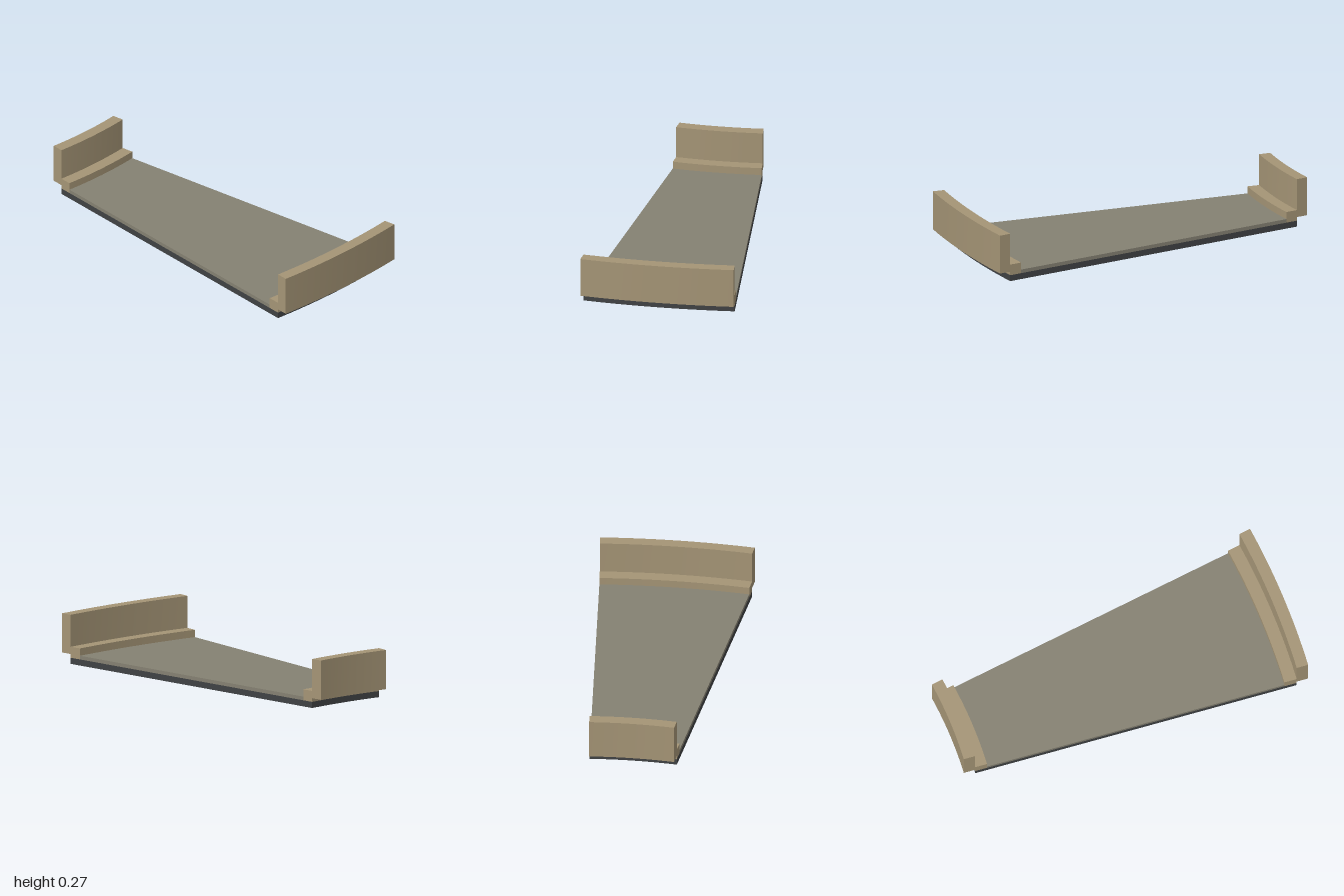
import * as THREE from 'three';
import { toCreasedNormals } from 'three/addons/utils/BufferGeometryUtils.js';

const ANGLE = Math.PI / 16;             // sweep of the curved section
const CENTRE_X = -3.341, START_Z = -0.4235;

// Sweeps a (radius, height) profile around the bend centre
function sweep(name, points, material) {
  const shape = new THREE.Shape(points.map(([r, y]) => new THREE.Vector2(r, y)));
  const geometry = new THREE.ExtrudeGeometry(shape, { depth: ANGLE, steps: 16, bevelEnabled: false });
  const p = geometry.attributes.position;
  for (let i = 0; i < p.count; i++) {
    const r = p.getX(i), a = p.getZ(i);
    p.setXYZ(i, CENTRE_X + r * Math.cos(a), p.getY(i), START_Z + r * Math.sin(a));
  }
  geometry.computeVertexNormals();
  const mesh = new THREE.Mesh(toCreasedNormals(geometry, 0.5), material);
  mesh.name = name;
  return mesh;
}

const rect = (r0, r1, y0, y1) => [[r0, y0], [r1, y0], [r1, y1], [r0, y1]];

// Stepped parapet profile: low kerb on the deck side, tall wall overhanging outside
const parapet = (kerb, joint, outer) => [
  [kerb, 0.034], [joint, 0.034], [joint, 0.0545], [outer, 0.0545],
  [outer, 0.2725], [joint, 0.2725], [joint, 0.095], [kerb, 0.095],
];

export function createModel() {
  const stone = new THREE.MeshStandardMaterial({ color: 0xa59576 });
  stone.name = 'tan stone';
  const paving = new THREE.MeshStandardMaterial({ color: 0x858172 });
  paving.name = 'grey paving';
  const dark = new THREE.MeshStandardMaterial({ color: 0x404244 });
  dark.name = 'dark base';

  const model = new THREE.Group();
  model.name = 'curvedWalkwaySection';
  model.add(
    sweep('baseSlab', rect(2.449, 4.276, 0, 0.034), dark),
    sweep('deck', rect(2.516, 4.206, 0.034, 0.0545), paving),
    sweep('leftParapet', parapet(4.206, 4.276, 4.341), stone),
    sweep('rightParapet', parapet(2.516, 2.449, 2.384), stone),
  );
  return model;
}
